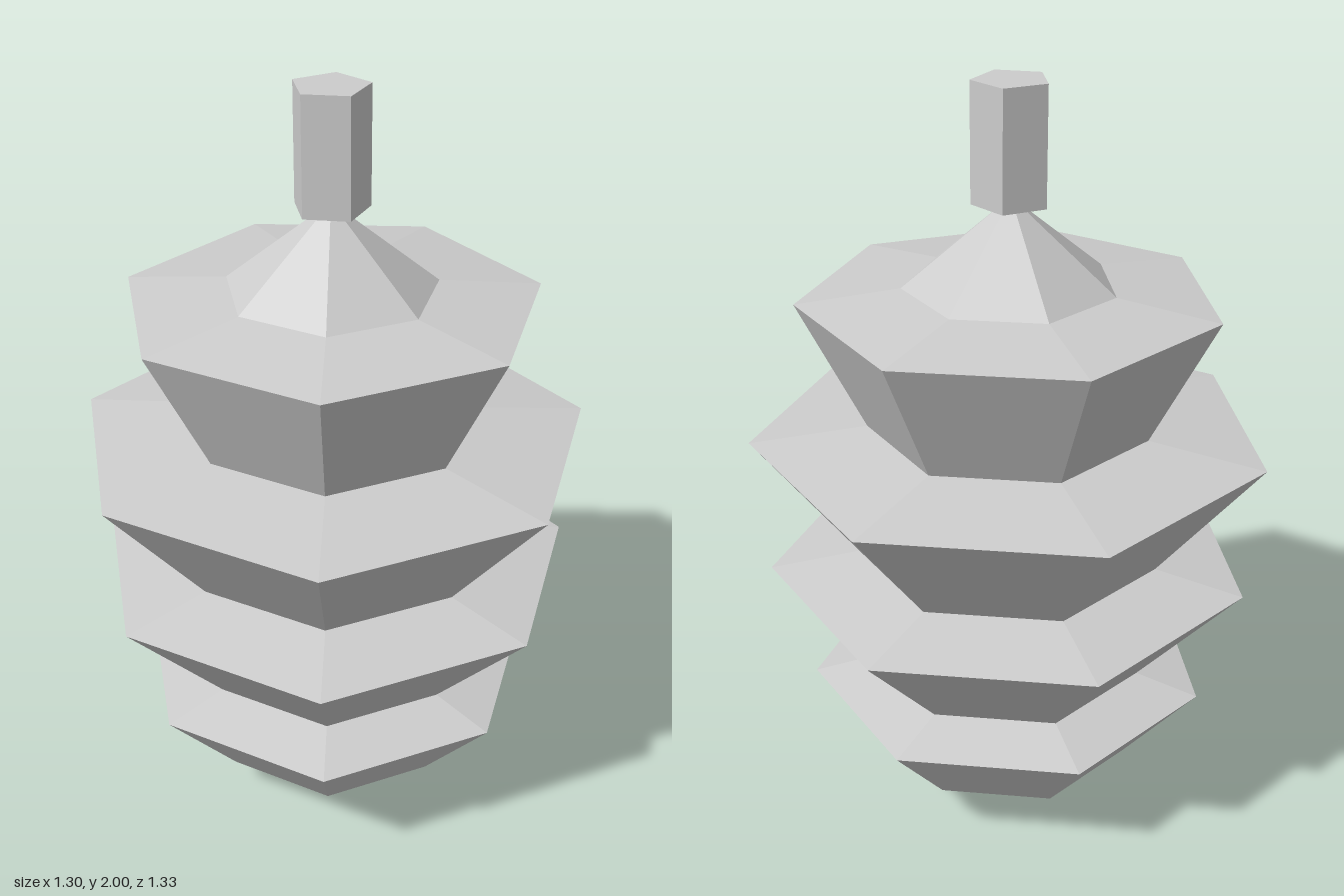
import * as THREE from 'three';

// Split faces so each one gets its own flat normal
function faceted(geometry) {
  const flat = geometry.toNonIndexed();
  flat.computeVertexNormals();
  return flat;
}

export function createModel() {
  const model = new THREE.Group();
  model.name = 'tieredCone';
  const grey = new THREE.MeshStandardMaterial({ color: 0xcccccc });
  grey.name = 'light grey';
  const axisX = -0.034; // centres the odd-sided rings on their bounding box

  // Seven-sided body: four flaring tiers between a pointed base and a cap
  const tiers = [
    // [lower radius, lower y, rim radius, rim y]
    [0.343, 0.105, 0.546, 0.345],
    [0.374, 0.383, 0.65, 0.69],
    [0.411, 0.728, 0.684, 1.07],
    [0.375, 1.105, 0.546, 1.45],
  ];
  const profile = [new THREE.Vector2(0, 0)];
  for (const [r0, y0, r1, y1] of tiers) {
    profile.push(new THREE.Vector2(r0, y0), new THREE.Vector2(r1, y1));
  }
  profile.push(new THREE.Vector2(0.277, 1.483), new THREE.Vector2(0, 1.711));
  const body = new THREE.Mesh(
    faceted(new THREE.LatheGeometry(profile, 7, Math.PI / 2)), grey);
  body.name = 'tieredBody';
  body.position.x = axisX;
  model.add(body);

  // Five-sided stem on top
  const stem = new THREE.Mesh(
    faceted(new THREE.CylinderGeometry(0.1, 0.1, 0.305, 5, 1, false, Math.PI / 2)), grey);
  stem.name = 'stem';
  stem.position.set(axisX, 1.8475, 0);
  model.add(stem);

  return model;
}
